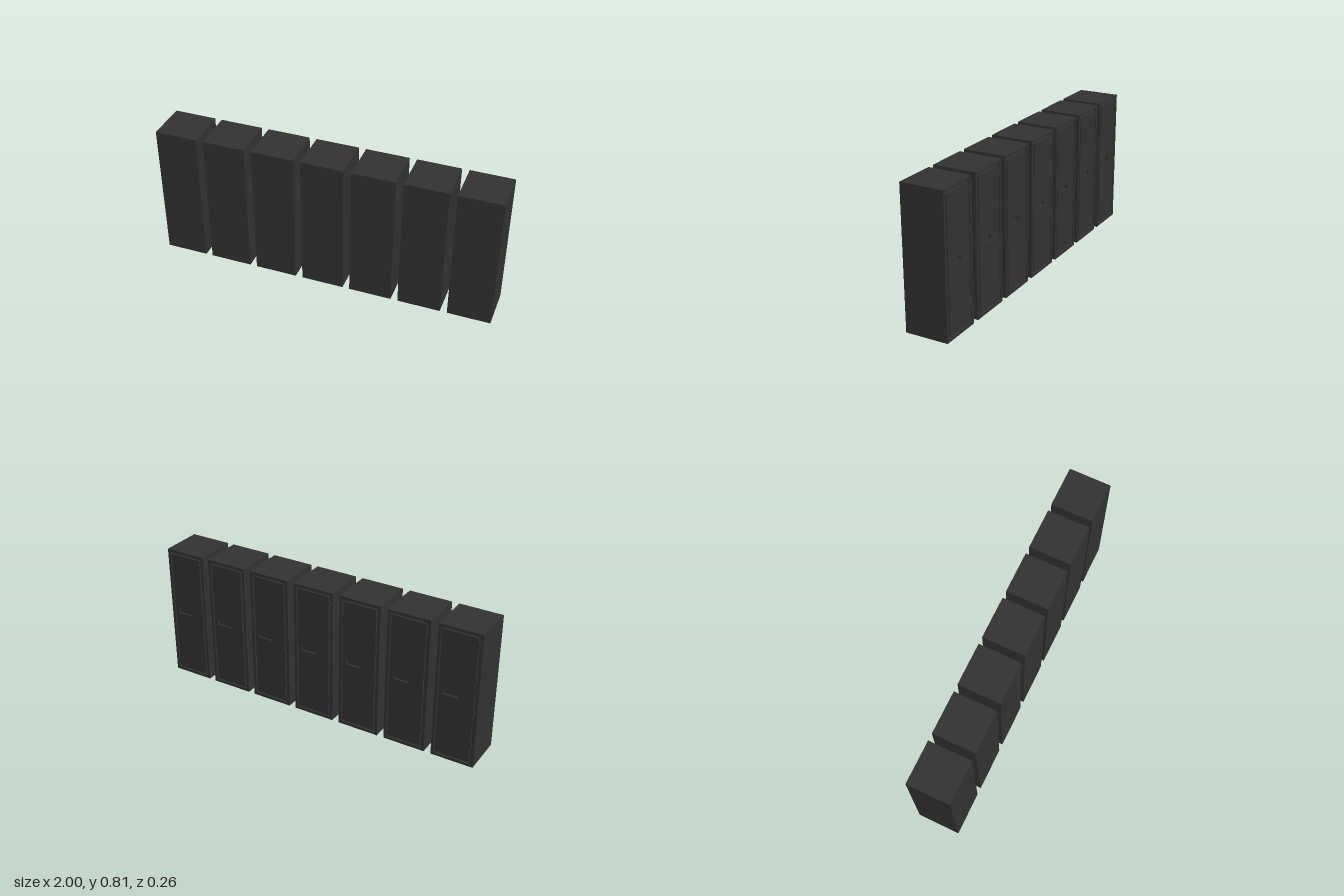
import * as THREE from 'three';

const W = 0.25, H = 0.812, COUNT = 7;
const BACK = 0.128, FRONT = -0.122, DEPTH = 0.014; // doors face -z
const FRAME = 0.016, GAP = 0.01;

const material = new THREE.MeshStandardMaterial({ color: 0x333333 });

function rect(Type, x0, y0, x1, y1) {
  return new Type([[x0, y0], [x1, y0], [x1, y1], [x0, y1]].map(([x, y]) => new THREE.Vector2(x, y)));
}

// Flat panel with one rectangular opening, its outer face on the door side
function panel(outer, hole, depth) {
  const shape = rect(THREE.Shape, ...outer);
  shape.holes.push(rect(THREE.Path, ...hole));
  return new THREE.ExtrudeGeometry(shape, { depth, bevelEnabled: false }).translate(0, 0, FRONT);
}

function add(group, name, geometry, x = 0, y = 0, z = 0) {
  const mesh = new THREE.Mesh(geometry, material);
  mesh.name = name;
  mesh.position.set(x, y, z);
  group.add(mesh);
}

export function createModel() {
  const bodyDepth = BACK - FRONT - DEPTH;
  const inset = FRAME + GAP;
  const half = W / 2;

  const body = new THREE.BoxGeometry(W, H, bodyDepth);
  const frame = panel([-half, 0, half, H], [-half + FRAME, FRAME, half - FRAME, H - FRAME], DEPTH);
  // Door with a slot-shaped pull on the side away from the hinges
  const door = panel([-half + inset, inset, half - inset, H - inset], [-0.015, 0.402, 0.079, 0.432], DEPTH);
  const hinge = new THREE.CylinderGeometry(0.006, 0.006, 0.028, 12);

  const model = new THREE.Group();
  model.name = 'lockerRow';
  for (let i = 0; i < COUNT; i++) {
    const locker = new THREE.Group();
    locker.name = `locker${i + 1}`;
    locker.position.x = -1 + half + i * (2 - W) / (COUNT - 1);
    add(locker, 'body', body, 0, H / 2, BACK - bodyDepth / 2);
    add(locker, 'doorFrame', frame);
    add(locker, 'door', door);
    for (let j = 0; j < 4; j++) {
      add(locker, `hinge${j + 1}`, hinge, -half + FRAME + GAP / 2, 0.145 + j * 0.2, FRONT);
    }
    model.add(locker);
  }
  return model;
}
